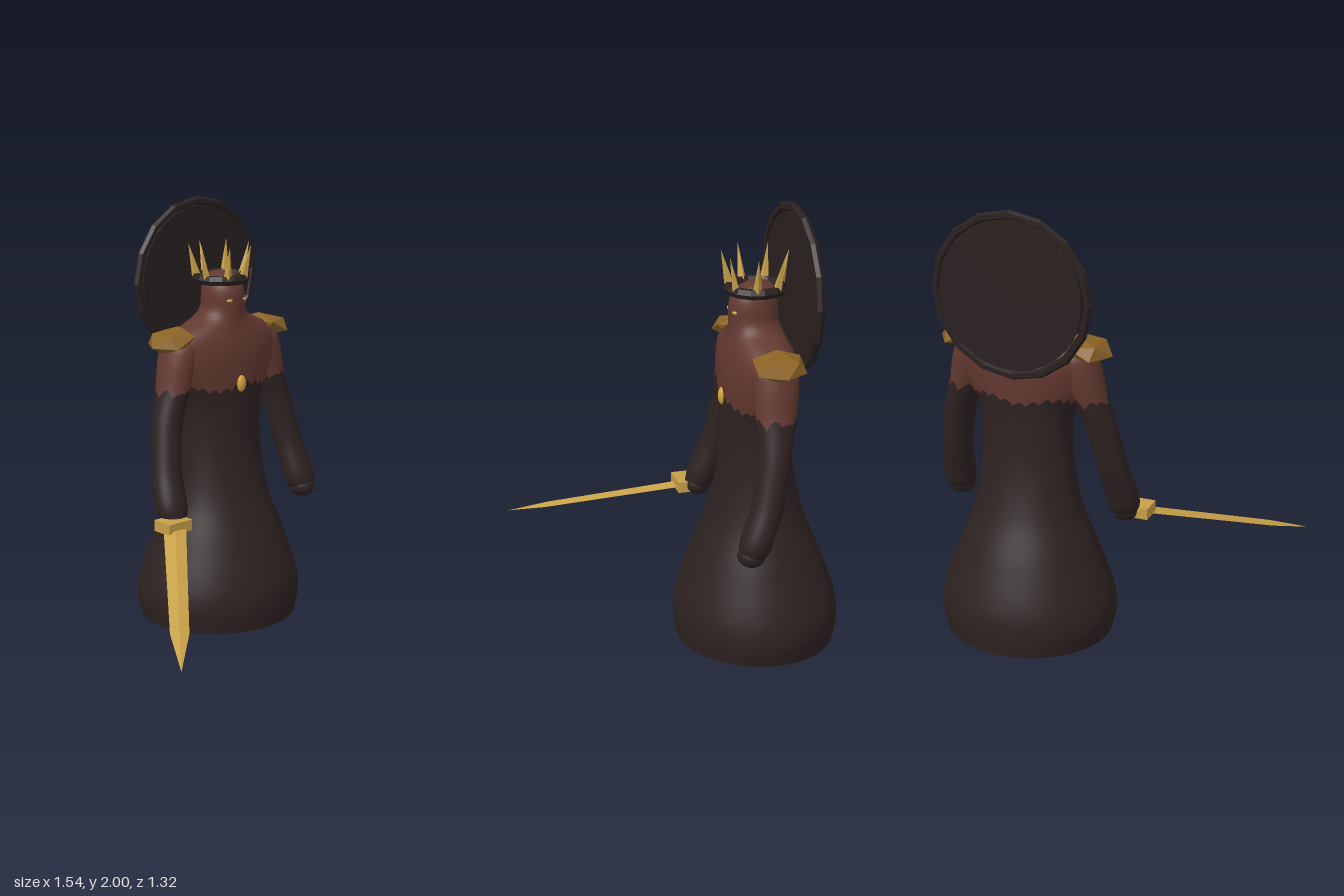
import * as THREE from 'three';

const CX = 0.282, CZ = -0.285; // body axis
const HEM = 1.14; // height of the ragged collar edge

const mat = (name, color, extra = {}) => {
  const m = new THREE.MeshStandardMaterial({ color, ...extra });
  m.name = name;
  return m;
};

// Smooth sampling of key rows [y, ...values] at height y
function sample(keys, y) {
  let i = 0;
  while (i < keys.length - 2 && y > keys[i + 1][0]) i++;
  const a = keys[i], b = keys[i + 1];
  const p = keys[Math.max(i - 1, 0)], n = keys[Math.min(i + 2, keys.length - 1)];
  const h = b[0] - a[0], t = Math.min(Math.max((y - a[0]) / h, 0), 1);
  return a.slice(1).map((v, k) => {
    const w = b[k + 1];
    const m0 = (w - p[k + 1]) / (b[0] - p[0]) * h, m1 = (n[k + 1] - v) / (n[0] - a[0]) * h;
    const t2 = t * t, t3 = t2 * t;
    return (2 * t3 - 3 * t2 + 1) * v + (t3 - 2 * t2 + t) * m0 + (3 * t2 - 2 * t3) * w + (t3 - t2) * m1;
  });
}

// Stacked ellipses [y, x, z, rx, rz]; rows above the ragged hem use the second material
function loft(keys, side, waves, segs) {
  const y0 = keys[0][0], y1 = keys[keys.length - 1][0];
  const low = Math.round((HEM - y0) / 0.02), high = Math.round((y1 - HEM) / 0.015);
  const rows = low + high, pos = [], idx = [];
  for (let i = 0; i <= rows; i++) {
    const base = i <= low ? y0 + (HEM - y0) * i / low : HEM + (y1 - HEM) * (i - low) / high;
    const fall = Math.max(0, 1 - Math.abs(base - HEM) / 0.1);
    for (let j = 0; j < segs; j++) {
      const a = j / segs * Math.PI * 2;
      const wave = 0.022 * Math.abs(Math.sin(a * waves / 2)) - 0.012 + 0.012 * Math.sin(a * 5 + 1);
      const y = base + wave * fall;
      const [x, z, rx, rz] = sample(keys, y);
      pos.push(CX + side * x + Math.max(rx, 0.001) * Math.sin(a), y, z + Math.max(rz, 0.001) * Math.cos(a));
    }
  }
  for (let i = 0; i < rows; i++) {
    for (let j = 0; j < segs; j++) {
      const k = (j + 1) % segs, a = i * segs + j, b = i * segs + k;
      idx.push(a, b, b + segs, a, b + segs, a + segs);
    }
  }
  const g = new THREE.BufferGeometry();
  g.setAttribute('position', new THREE.Float32BufferAttribute(pos, 3));
  g.setIndex(idx);
  g.addGroup(0, low * segs * 6, 0);
  g.addGroup(low * segs * 6, high * segs * 6, 1);
  g.computeVertexNormals();
  return g;
}

export function createModel() {
  const root = new THREE.Group();
  const robe = mat('dark robe', 0x2e2222);
  const skin = mat('russet skin', 0x633930);
  const iron = mat('black iron', 0x2a2020, { flatShading: true });
  const bronze = mat('bronze', 0x8a6225, { flatShading: true });
  const gold = mat('gold', 0xc79f48, { flatShading: true });
  const glow = mat('bright gold', 0xd6a83c);

  const add = (name, geo, material, x = 0, y = 0, z = 0, parent = root) => {
    const m = new THREE.Mesh(geo, material);
    m.name = name;
    m.position.set(x, y, z);
    parent.add(m);
    return m;
  };

  // Gown, torso and head in one sweep
  add('body', loft([
    [0, 0, -0.29, 0.385, 0.36], [0.1, 0, -0.29, 0.408, 0.372], [0.2, 0, -0.29, 0.395, 0.36],
    [0.4, 0, -0.287, 0.325, 0.292], [0.6, 0, -0.283, 0.25, 0.215], [0.8, 0, -0.28, 0.216, 0.168],
    [1.0, 0, -0.278, 0.213, 0.152], [1.1, 0, -0.278, 0.238, 0.152], [1.2, 0, -0.28, 0.295, 0.156],
    [1.3, 0, -0.282, 0.325, 0.157], [1.37, 0, -0.28, 0.31, 0.143], [1.42, 0, -0.275, 0.225, 0.125],
    [1.46, 0, -0.27, 0.135, 0.115], [1.5, 0, -0.262, 0.103, 0.109], [1.56, 0, -0.26, 0.098, 0.108],
    [1.61, 0, -0.265, 0.09, 0.1], [1.645, 0, -0.275, 0.07, 0.076], [1.665, 0, -0.28, 0.04, 0.043],
    [1.673, 0, -0.28, 0, 0]], 1, 26, 104), [robe, skin]);
  const base = add('gownBase', new THREE.CircleGeometry(1, 48), robe, CX, 0, -0.29);
  base.rotation.x = Math.PI / 2;
  base.scale.set(0.385, 0.36, 1);

  for (const s of [1, -1]) {
    // Sleeve with hand
    add(s > 0 ? 'leftArm' : 'rightArm', loft([
      [0.555, 0.41, -0.145, 0, 0], [0.565, 0.41, -0.145, 0.045, 0.045], [0.59, 0.411, -0.148, 0.068, 0.066],
      [0.65, 0.408, -0.162, 0.076, 0.072], [0.8, 0.388, -0.215, 0.07, 0.07], [1.0, 0.347, -0.255, 0.072, 0.072],
      [1.15, 0.298, -0.272, 0.077, 0.088], [1.3, 0.26, -0.28, 0.084, 0.1], [1.37, 0.245, -0.28, 0.065, 0.08],
      [1.4, 0.24, -0.28, 0, 0]], s, 8, 40), [robe, skin]);
    const hand = add(s > 0 ? 'leftHand' : 'rightHand', new THREE.SphereGeometry(0.062, 20, 14), robe, CX + s * 0.412, 0.574, -0.135);
    hand.scale.set(1, 0.85, 1);

    // Faceted shoulder plate
    const pad = new THREE.Group();
    pad.name = s > 0 ? 'leftPauldron' : 'rightPauldron';
    const stone = new THREE.IcosahedronGeometry(0.125, 0);
    stone.rotateX(0.5536);
    stone.rotateY(s > 0 ? Math.PI / 2 : -Math.PI / 2);
    stone.scale(0.95, 0.44, 1);
    add('shoulderPlate', stone, bronze, 0, 0, 0, pad);
    pad.position.set(CX + s * 0.295, 1.377, CZ);
    pad.rotation.z = -s * 0.2;
    root.add(pad);

    // Eye
    const eye = add('eye', new THREE.SphereGeometry(0.015, 12, 8), glow, CX + s * 0.043, 1.545, -0.164);
    eye.scale.set(1, 0.5, 0.5);
    eye.rotation.y = s * 0.4;
  }

  // Chest jewel
  const jewel = add('chestJewel', new THREE.SphereGeometry(0.04, 10, 8), glow, 0.277, 1.155, -0.124);
  jewel.scale.set(0.65, 1, 0.4);

  // Crown: band and seven leaning spikes
  const crown = new THREE.Group();
  crown.name = 'crown';
  crown.position.set(0.278, 1.638, -0.27);
  root.add(crown);
  const band = new THREE.TorusGeometry(0.115, 0.024, 6, 14);
  band.rotateX(Math.PI / 2);
  add('crownBand', band, iron, 0, 0, 0, crown);
  for (let i = 0; i < 7; i++) {
    const a = Math.PI + i / 7 * Math.PI * 2;
    const arm = new THREE.Group();
    arm.name = 'crownSpike';
    arm.rotation.y = a;
    crown.add(arm);
    const spike = add('spike', new THREE.ConeGeometry(0.021, 0.16, 4), gold, 0, 0.084, 0.132, arm);
    spike.rotation.x = 0.24;
  }

  // Halo disc and surrounding ring
  const disc = new THREE.CylinderGeometry(0.333, 0.333, 0.016, 36);
  disc.rotateX(Math.PI / 2);
  add('haloDisc', disc, iron, CX - 0.002, 1.622, -0.44);
  add('haloRing', new THREE.TorusGeometry(0.357, 0.02, 6, 16), iron, CX - 0.007, 1.622, -0.44);

  // Sword: guard block and ridged blade
  const sword = new THREE.Group();
  sword.name = 'sword';
  root.add(sword);
  add('guard', new THREE.BoxGeometry(0.135, 0.052, 0.108), gold, -0.172, 0.566, -0.092, sword);
  const start = new THREE.Vector3(-0.165, 0.563, -0.09), tip = new THREE.Vector3(-0.77, 0.25, 0.66);
  const length = start.distanceTo(tip);
  const blade = new THREE.Group();
  blade.name = 'blade';
  blade.position.copy(start);
  blade.lookAt(tip);
  sword.add(blade);
  const piece = (name, r0, r1, z0, z1) => {
    const g = new THREE.CylinderGeometry(r1, r0, z1 - z0, 4, 1);
    g.rotateX(Math.PI / 2);
    g.scale(1, 0.32, 1);
    add(name, g, gold, 0, 0, (z0 + z1) / 2, blade);
  };
  piece('bladeBody', 0.052, 0.041, 0, length * 0.76);
  piece('bladeTip', 0.041, 0, length * 0.76, length);

  return root;
}
